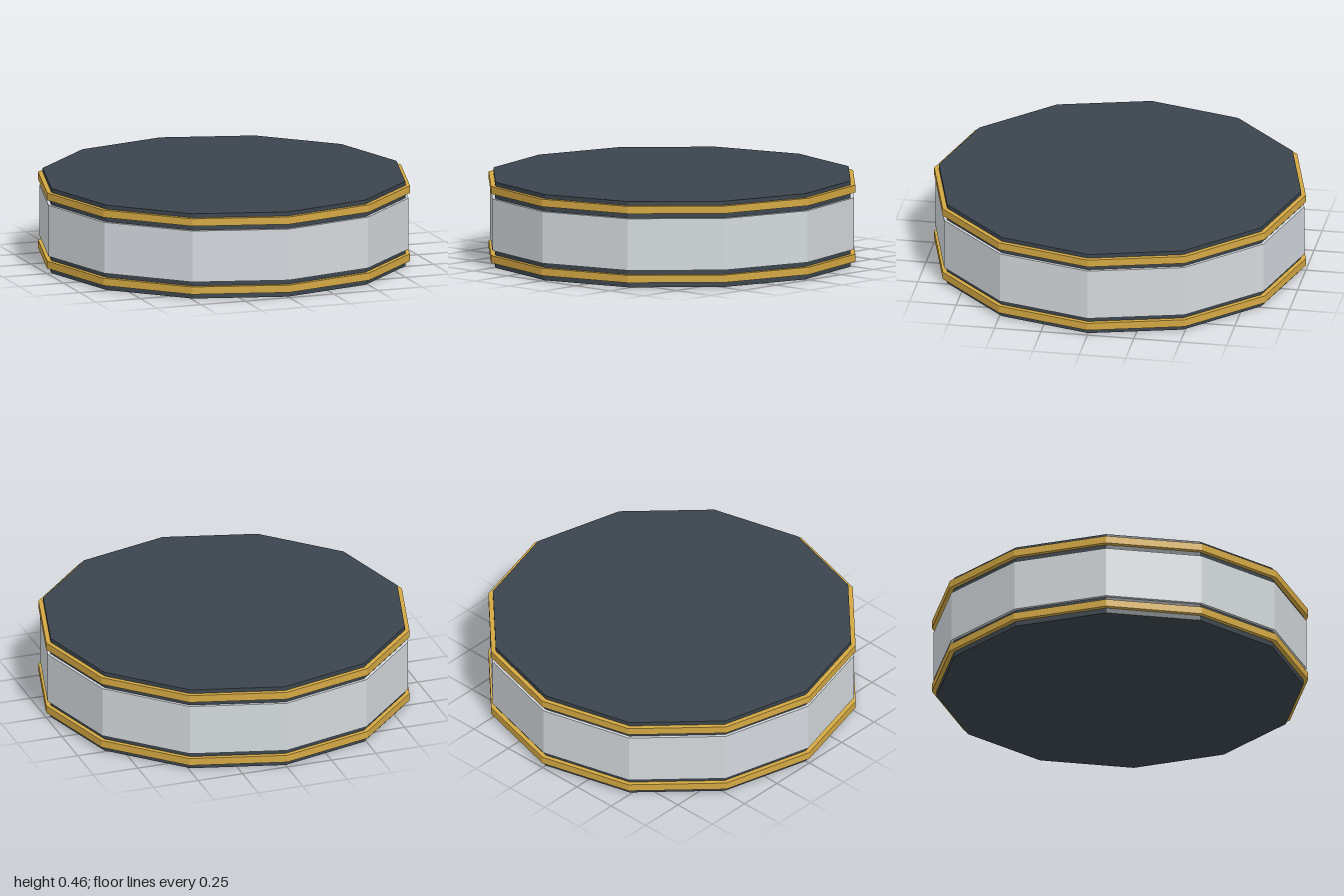
import * as THREE from 'three';

const SIDES = 12;

export function createModel() {
  const group = new THREE.Group();
  const material = (color) => new THREE.MeshStandardMaterial({ color, flatShading: true });
  const dark = material(0x3b454d);
  const gold = material(0xd4a843);
  const silver = material(0xd3d8dc);

  // twelve-sided slab between two heights
  const slab = (name, radius, y0, y1, mat) => {
    const mesh = new THREE.Mesh(new THREE.CylinderGeometry(radius, radius, y1 - y0, SIDES), mat);
    mesh.name = name;
    mesh.position.y = (y0 + y1) / 2;
    group.add(mesh);
  };

  // dark plates, each with a gold trim band around its rim
  for (const [place, y] of [['lower', 0], ['upper', 0.37]]) {
    slab(place + 'Plate', 0.975, y, y + 0.09, dark);
    slab(place + 'TrimBand', 1, y + 0.028, y + 0.068, gold);
  }

  // pale drum between the plates
  slab('drumBody', 0.992, 0.093, 0.37, silver);

  // hidden core joining drum and lower plate
  slab('core', 0.975, 0.08, 0.1, dark);
  return group;
}
